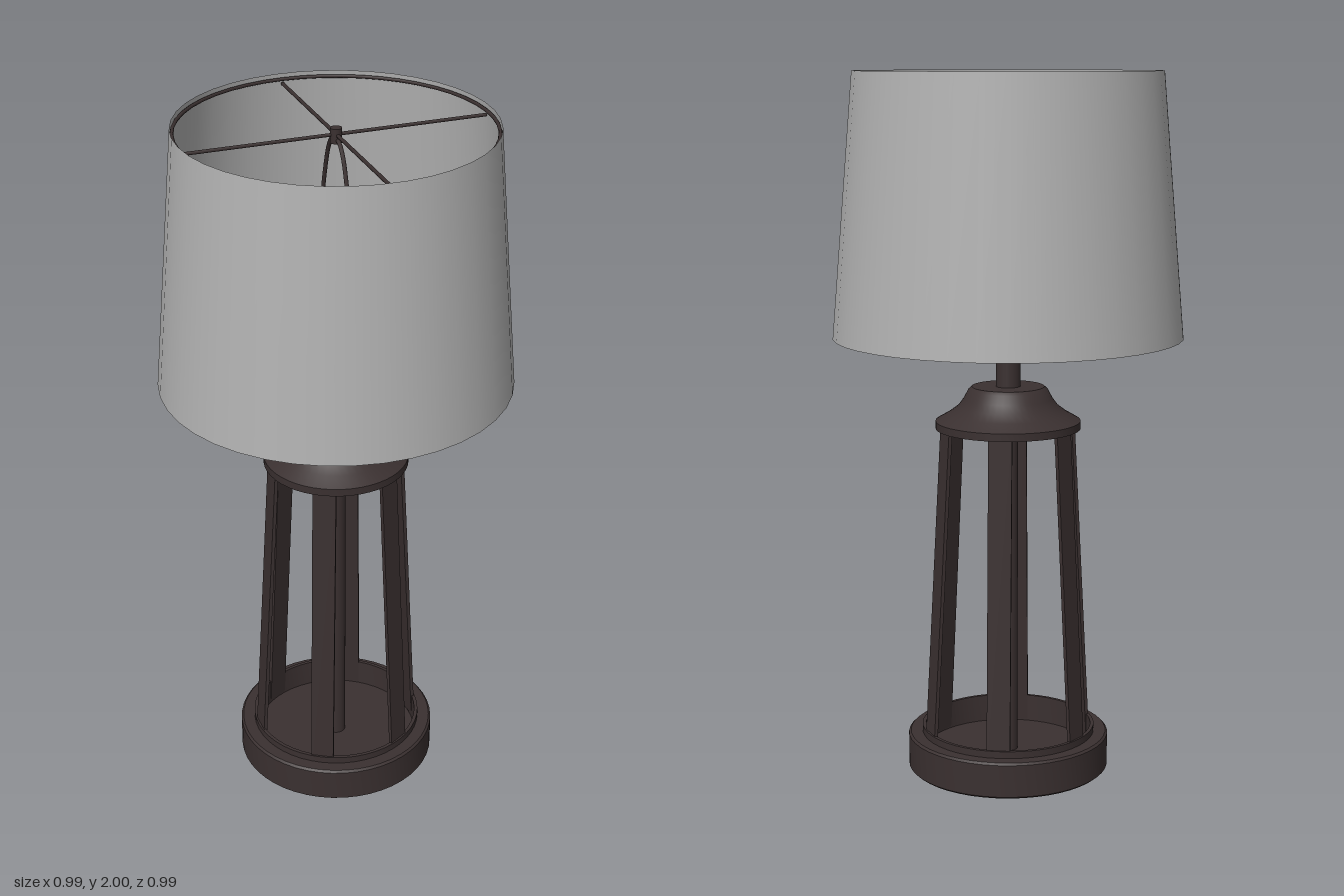
import * as THREE from 'three';
import { toCreasedNormals } from 'three/addons/utils/BufferGeometryUtils.js';

export function createModel() {
  const lamp = new THREE.Group();
  lamp.name = 'tableLamp';

  const bronze = new THREE.MeshStandardMaterial({ color: 0x3a3030, side: THREE.DoubleSide });
  bronze.name = 'dark bronze';
  const linen = new THREE.MeshStandardMaterial({ color: 0xb2b2b2, side: THREE.DoubleSide });
  linen.name = 'grey linen';
  const glass = new THREE.MeshStandardMaterial({ color: 0xc8c8c8 });
  glass.name = 'bulb glass';

  const add = (name, geometry, material = bronze, parent = lamp) => {
    const mesh = new THREE.Mesh(geometry, material);
    mesh.name = name;
    parent.add(mesh);
    return mesh;
  };
  const lathe = (points, segments = 48) => toCreasedNormals(
    new THREE.LatheGeometry(points.map(([r, y]) => new THREE.Vector2(r, y)), segments), 0.6);
  const rod = (radius, y0, y1) =>
    new THREE.CylinderGeometry(radius, radius, y1 - y0, 24).translate(0, (y0 + y1) / 2, 0);

  // Dished base with a raised inner lip
  add('base', lathe([[0, 0], [0.283, 0], [0.29, 0.006], [0.29, 0.099], [0.284, 0.105],
    [0.25, 0.105], [0.25, 0.125], [0.24, 0.125], [0.24, 0.045], [0, 0.045]]));

  // Six flat bars leaning in towards the cap
  const foot = new THREE.Vector2(0.243, 0.05);
  const head = new THREE.Vector2(0.188, 1.025);
  const lean = Math.atan2(foot.x - head.x, head.y - foot.y);
  for (let i = 0; i < 6; i++) {
    const pivot = new THREE.Group();
    pivot.name = 'barPivot';
    pivot.rotation.y = i * Math.PI / 3;
    lamp.add(pivot);
    const bar = add('bar', new THREE.BoxGeometry(0.066, foot.distanceTo(head), 0.01), bronze, pivot);
    bar.position.set(0, (foot.y + head.y) / 2, (foot.x + head.x) / 2);
    bar.rotation.x = -lean;
  }

  // Central pole, hollow flared cap and neck
  add('pole', rod(0.028, 0.04, 1.11));
  add('cap', lathe([[0, 1.04], [0.195, 1.025], [0.195, 1.002], [0.206, 1.002], [0.206, 1.024],
    [0.17, 1.045], [0.142, 1.066], [0.126, 1.088], [0.113, 1.113], [0.103, 1.122], [0, 1.122]]));
  add('neck', rod(0.035, 1.12, 1.47));
  add('socket', rod(0.03, 1.47, 1.58));

  // Bulb
  add('bulb', new THREE.LatheGeometry(new THREE.SplineCurve([[0.028, 1.56], [0.032, 1.61],
    [0.054, 1.68], [0.062, 1.73], [0.044, 1.775], [0, 1.79]]
    .map(([r, y]) => new THREE.Vector2(r, y))).getPoints(20), 32), glass);

  // Tapered shade with wire rims
  add('shade', new THREE.CylinderGeometry(0.43, 0.493, 0.735, 40, 1, true)
    .translate(0, 1.6325, 0), linen);
  const rim = (name, radius, y) =>
    add(name, new THREE.TorusGeometry(radius, 0.005, 8, 48).rotateX(Math.PI / 2).translate(0, y, 0));
  rim('topRim', 0.424, 1.985);

  // Four spokes, hub and harp share one turned frame
  const frame = new THREE.Group();
  frame.name = 'shadeFrame';
  frame.rotation.y = Math.PI / 3;
  lamp.add(frame);
  for (const turn of [0, Math.PI / 2]) {
    add('spoke', new THREE.CylinderGeometry(0.005, 0.005, 0.85, 8)
      .rotateZ(Math.PI / 2).rotateY(turn).translate(0, 1.972, 0), bronze, frame);
  }
  add('hub', rod(0.016, 1.95, 1.99), bronze, frame);

  // Harp loop around the bulb, closed by a saddle under the socket
  const loop = [[0.035, 1.45], [0.1, 1.452], [0.112, 1.48], [0.115, 1.6], [0.11, 1.72],
    [0.085, 1.84], [0.05, 1.93], [0.02, 1.958]];
  const path = [...loop, ...loop.map(([x, y]) => [-x, y]).reverse()]
    .map(([x, y]) => new THREE.Vector3(x, y, 0));
  add('harp', new THREE.TubeGeometry(new THREE.CatmullRomCurve3(path, true), 80, 0.006, 8, true),
    bronze, frame);

  return lamp;
}
